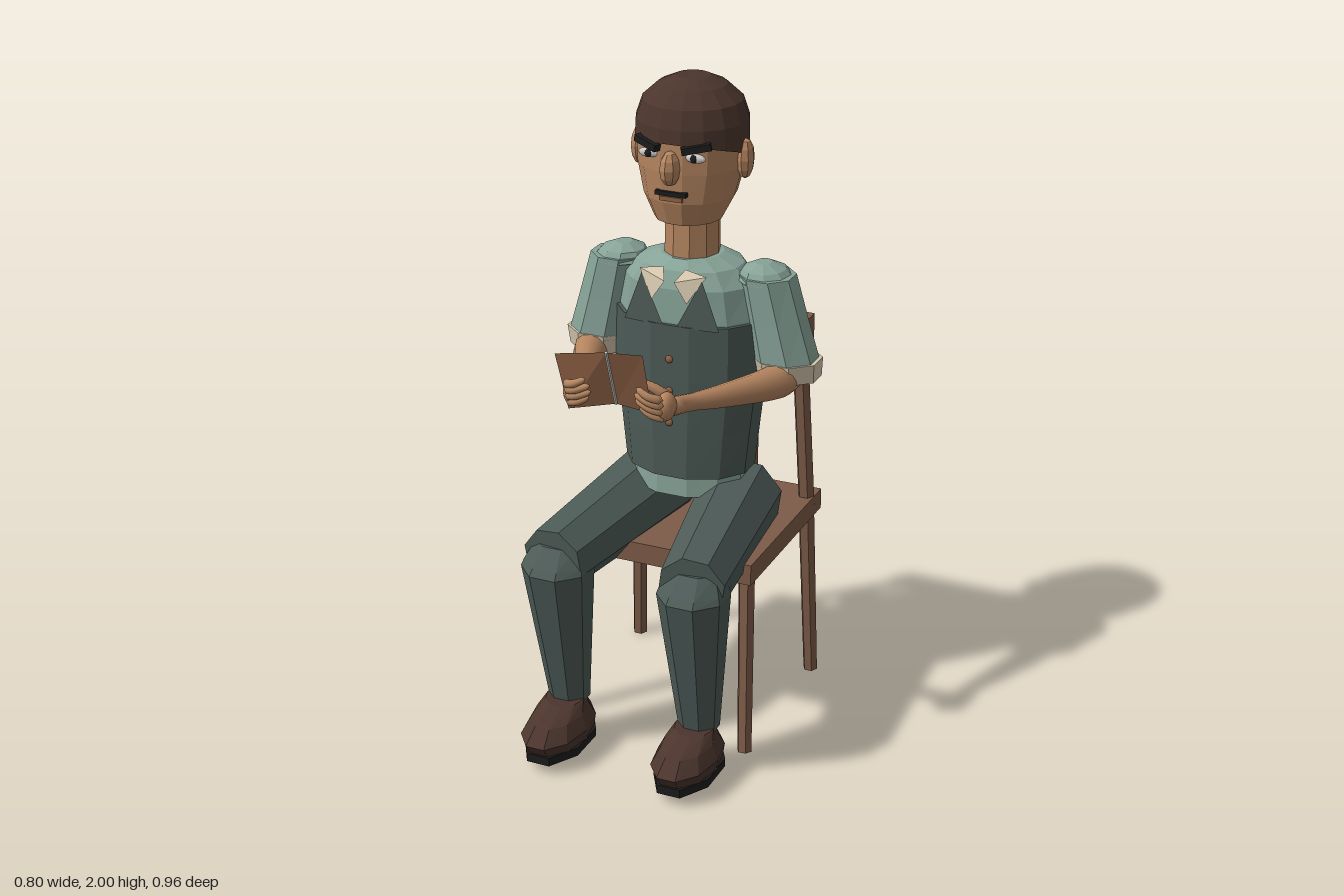
import * as THREE from 'three';
import { mergeVertices } from 'three/addons/utils/BufferGeometryUtils.js';

const V = (x, y, z) => new THREE.Vector3(x, y, z);

// Faceted normals
function flat(geo) {
  const g = geo.index ? geo.toNonIndexed() : geo;
  g.computeVertexNormals();
  return g;
}

// Stacked n-sided rings, each [y, rx, rz, cx, cz], capped at both ends
function loft(levels, n) {
  const pos = [], idx = [];
  for (const [y, rx, rz, cx, cz] of levels) {
    for (let i = 0; i < n; i++) {
      const a = ((i + 0.5) / n) * Math.PI * 2;
      pos.push(cx + rx * Math.sin(a), y, cz + rz * Math.cos(a));
    }
  }
  const last = levels.length - 1, c0 = levels.length * n, c1 = c0 + 1;
  for (const l of [levels[0], levels[last]]) pos.push(l[3], l[0], l[4]);
  for (let i = 0; i < n; i++) {
    const j = (i + 1) % n;
    for (let k = 0; k < last; k++) {
      const a = k * n + i, b = k * n + j;
      idx.push(a, b, b + n, a, b + n, a + n);
    }
    idx.push(c0, j, i, c1, last * n + i, last * n + j);
  }
  const g = new THREE.BufferGeometry();
  g.setAttribute('position', new THREE.Float32BufferAttribute(pos, 3));
  g.setIndex(idx);
  return g;
}

// Tapered straight bar from a to b
function rod(a, b, ra, rb, n) {
  const d = b.clone().sub(a);
  const g = new THREE.CylinderGeometry(rb, ra, d.length(), n);
  g.rotateY(Math.PI / n);
  g.applyQuaternion(new THREE.Quaternion().setFromUnitVectors(V(0, 1, 0), d.normalize()));
  const m = a.clone().add(b).multiplyScalar(0.5);
  return flat(g.translate(m.x, m.y, m.z));
}

// Smooth limb along a curve, its radius following a list
function limb(points, radii, seg = 24, n = 12) {
  const curve = new THREE.CatmullRomCurve3(points);
  let g = new THREE.TubeGeometry(curve, seg, 1, n, false);
  const p = g.attributes.position, v = V(0, 0, 0);
  for (let i = 0; i <= seg; i++) {
    const c = curve.getPointAt(i / seg);
    const t = (i / seg) * (radii.length - 1), k = Math.min(Math.floor(t), radii.length - 2);
    const end = i === 0 || i === seg ? 0.05 : 1;
    const r = end * THREE.MathUtils.lerp(radii[k], radii[k + 1], t - k);
    for (let j = 0; j <= n; j++) {
      const q = i * (n + 1) + j;
      v.fromBufferAttribute(p, q).sub(c).multiplyScalar(r).add(c);
      p.setXYZ(q, v.x, v.y, v.z);
    }
  }
  g.deleteAttribute('uv');
  g.deleteAttribute('normal');
  g = mergeVertices(g, 1e-5);
  g.computeVertexNormals();
  return g;
}

const blob = (rx, ry, rz, x, y, z, w = 10, h = 8) =>
  new THREE.SphereGeometry(1, w, h).scale(rx, ry, rz).translate(x, y, z);

// Thin fan polygon, optionally with a reverse face
function plate(pts, both = false) {
  const g = new THREE.BufferGeometry().setFromPoints(pts), idx = [];
  for (let i = 1; i < pts.length - 1; i++) {
    idx.push(0, i, i + 1);
    if (both) idx.push(0, i + 1, i);
  }
  g.setIndex(idx);
  return flat(g);
}

export function createModel() {
  const model = new THREE.Group();
  const mat = (name, color) => {
    const m = new THREE.MeshStandardMaterial({ color });
    m.name = name;
    return m;
  };
  const skin = mat('skin', 0xb58560), shirt = mat('shirt green', 0x87a398);
  const cloth = mat('dark cloth', 0x4d5b57), wood = mat('wood', 0x7d5b48);
  const hair = mat('dark brown', 0x4b352d), black = mat('black', 0x1d1c1d);
  const cream = mat('cream', 0xd6c8ae), paper = mat('paper', 0xcfcecb);
  const leather = mat('leather', 0x8f6146);
  const add = (name, geo, m, parent = model) => {
    const mesh = new THREE.Mesh(geo, m);
    mesh.name = name;
    parent.add(mesh);
    return mesh;
  };
  const box = (w, h, d, x, y, z) => new THREE.BoxGeometry(w, h, d).translate(x, y, z);

  // Chair
  const chair = new THREE.Group();
  chair.name = 'chair';
  model.add(chair);
  add('seat', box(0.62, 0.065, 0.575, 0, 0.598, -0.192), wood, chair);
  add('topRail', box(0.59, 0.09, 0.055, 0, 1.19, -0.393), wood, chair);
  for (const s of [-1, 1]) {
    add('frontLeg', rod(V(s * 0.3, 0.005, 0.1), V(s * 0.275, 0.57, 0.04), 0.023, 0.026, 6), wood, chair);
    add('backLeg', rod(V(s * 0.3, 0.005, -0.452), V(s * 0.285, 0.57, -0.42), 0.023, 0.026, 6), wood, chair);
    add('backPost', rod(V(s * 0.285, 0.6, -0.42), V(s * 0.262, 1.16, -0.388), 0.026, 0.026, 6), wood, chair);
    add('backSlat', box(0.045, 0.5, 0.03, s * 0.1, 0.9, -0.4), wood, chair);
  }

  // Torso
  add('shirt', flat(loft([
    [0.745, 0.19, 0.15, 0, -0.175], [0.85, 0.18, 0.145, 0, -0.175], [1.2, 0.21, 0.145, 0, -0.175],
    [1.3, 0.225, 0.155, 0, -0.175], [1.4, 0.205, 0.15, 0, -0.175],
    [1.45, 0.16, 0.13, 0, -0.178], [1.475, 0.095, 0.095, 0, -0.18]], 12)), shirt);
  add('vest', flat(loft([
    [0.81, 0.2, 0.16, 0, -0.173], [0.95, 0.215, 0.162, 0, -0.173],
    [1.12, 0.235, 0.163, 0, -0.173], [1.295, 0.235, 0.163, 0, -0.173]], 12)), cloth);
  for (const y of [0.99, 1.09, 1.19]) add('button', blob(0.012, 0.012, 0.007, 0, y, -0.012), leather);

  for (const s of [-1, 1]) {
    // Lapels and collar points
    add('lapel', plate([V(s * 0.02, 1.29, -0.015), V(s * 0.15, 1.29, -0.03), V(s * 0.095, 1.44, -0.03)], true), cloth);
    add('collar', plate([V(s * 0.015, 1.43, -0.012), V(s * 0.035, 1.46, -0.05),
      V(s * 0.105, 1.45, -0.04), V(s * 0.055, 1.37, -0.01)], true), cream);

    // Sleeves
    add('shoulderCap', flat(loft([[1.42, 0.088, 0.09, s * 0.23, -0.185],
      [1.45, 0.065, 0.07, s * 0.225, -0.185], [1.468, 0.025, 0.03, s * 0.222, -0.185]], 9)), shirt);
    add('sleeve', flat(loft([[1.17, 0.104, 0.092, s * 0.295, -0.187],
      [1.3, 0.095, 0.087, s * 0.265, -0.183], [1.435, 0.086, 0.086, s * 0.235, -0.18]], 8)), shirt);
    add('cuff', flat(loft([[1.125, 0.103, 0.09, s * 0.298, -0.195],
      [1.185, 0.11, 0.096, s * 0.296, -0.188]], 8)), cream);

    // Forearm and hand
    const arm = new THREE.Group();
    arm.name = s > 0 ? 'leftArm' : 'rightArm';
    model.add(arm);
    add('forearm', limb([V(s * 0.31, 1.14, -0.24), V(s * 0.305, 1.135, -0.13), V(s * 0.22, 1.155, 0.09),
      V(s * 0.158, 1.178, 0.24), V(s * 0.145, 1.195, 0.32)], [0.045, 0.052, 0.043, 0.034, 0.025, 0.028]), skin, arm);
    add('palm', blob(0.028, 0.042, 0.042, s * 0.142, 1.2, 0.325, 12, 10), skin, arm);
    for (let i = 0; i < 4; i++) {
      const y = 1.172 + i * 0.021, z = 0.343 + i * 0.007;
      add('finger', limb([V(s * 0.15, y, z), V(s * 0.115, y + 0.012, z + 0.02),
        V(s * (0.062 + Math.abs(i - 1.5) * 0.01), y + 0.032, z + 0.017)], [0.014, 0.012, 0.009], 8, 8), skin, arm);
    }
    add('thumb', limb([V(s * 0.145, 1.205, 0.29), V(s * 0.105, 1.24, 0.31), V(s * 0.05, 1.265, 0.325)],
      [0.018, 0.015, 0.01], 10, 8), skin, arm);

    // Legs and shoes
    add('thigh', rod(V(s * 0.14, 0.68, -0.24), V(s * 0.22, 0.645, 0.325), 0.13, 0.102, 8), cloth);
    add('shin', flat(loft([[0.155, 0.062, 0.06, s * 0.213, 0.245], [0.62, 0.107, 0.112, s * 0.217, 0.3],
      [0.64, 0.1, 0.1, s * 0.217, 0.295], [0.69, 0.075, 0.06, s * 0.217, 0.28]], 8)), cloth);
    add('shoe', flat(loft([[0.06, 0.088, 0.15, s * 0.212, 0.315], [0.098, 0.095, 0.167, s * 0.212, 0.325],
      [0.14, 0.075, 0.125, s * 0.212, 0.315], [0.168, 0.06, 0.07, s * 0.212, 0.275]], 10)), hair);
    add('sole', flat(loft([[0.035, 0.095, 0.165, s * 0.212, 0.313],
      [0.062, 0.095, 0.165, s * 0.212, 0.313]], 8)), black);

    // Ears, eyes and brows
    add('ear', flat(blob(0.026, 0.06, 0.034, s * 0.165, 1.775, -0.175, 8, 6)), skin);
    add('eye', blob(0.032, 0.014, 0.012, s * 0.072, 1.803, -0.032), paper);
    add('pupil', blob(0.011, 0.012, 0.008, s * 0.07, 1.803, -0.024), black);
    const brow = add('brow', new THREE.BoxGeometry(0.085, 0.02, 0.025), black);
    brow.position.set(s * 0.075, 1.832, -0.03);
    brow.rotation.set(0, s * 0.4, s * 0.18);
  }

  // Head
  add('neck', flat(loft([[1.42, 0.083, 0.087, 0, -0.18], [1.63, 0.08, 0.085, 0, -0.18]], 10)), skin);
  add('head', flat(loft([[1.59, 0.1, 0.105, 0, -0.155], [1.66, 0.135, 0.138, 0, -0.165],
    [1.75, 0.157, 0.155, 0, -0.175], [1.84, 0.161, 0.158, 0, -0.178],
    [1.93, 0.13, 0.13, 0, -0.18]], 14)), skin);
  add('nose', flat(blob(0.03, 0.052, 0.04, 0, 1.768, -0.02, 8, 6)), skin);
  add('mouth', box(0.095, 0.013, 0.02, 0, 1.692, -0.028), black);
  add('lowerLip', box(0.07, 0.013, 0.02, 0, 1.676, -0.03), leather);

  // Hair cap, its rim sloping down toward the back
  const cap = loft([[1.785, 0.168, 0.166, 0, -0.178], [1.88, 0.166, 0.163, 0, -0.178],
    [1.935, 0.147, 0.146, 0, -0.178], [1.978, 0.1, 0.1, 0, -0.178], [2.0, 0.05, 0.05, 0, -0.178]], 16);
  const p = cap.attributes.position;
  for (let i = 0; i < p.count; i++) {
    if (p.getY(i) < 1.8) p.setY(i, 1.79 + (p.getZ(i) + 0.178) * 0.3);
  }
  add('hair', flat(cap), hair);

  // Open booklet: leather outside, paper inside
  const low = [V(-0.155, 1.145, 0.335), V(-0.012, 1.18, 0.322), V(0.1, 1.17, 0.325)];
  const high = [V(-0.18, 1.32, 0.365), V(-0.012, 1.358, 0.385), V(0.1, 1.368, 0.387)];
  const back = (v) => v.clone().add(V(0, 0.002, -0.004));
  for (let i = 0; i < 2; i++) {
    const quad = [low[i], low[i + 1], high[i + 1], high[i]];
    add('bookCover', plate(quad), leather);
    add('bookPage', plate(quad.map(back).reverse()), paper);
  }
  add('bookSpine', rod(low[1], high[1], 0.005, 0.005, 6), paper);

  return model;
}
